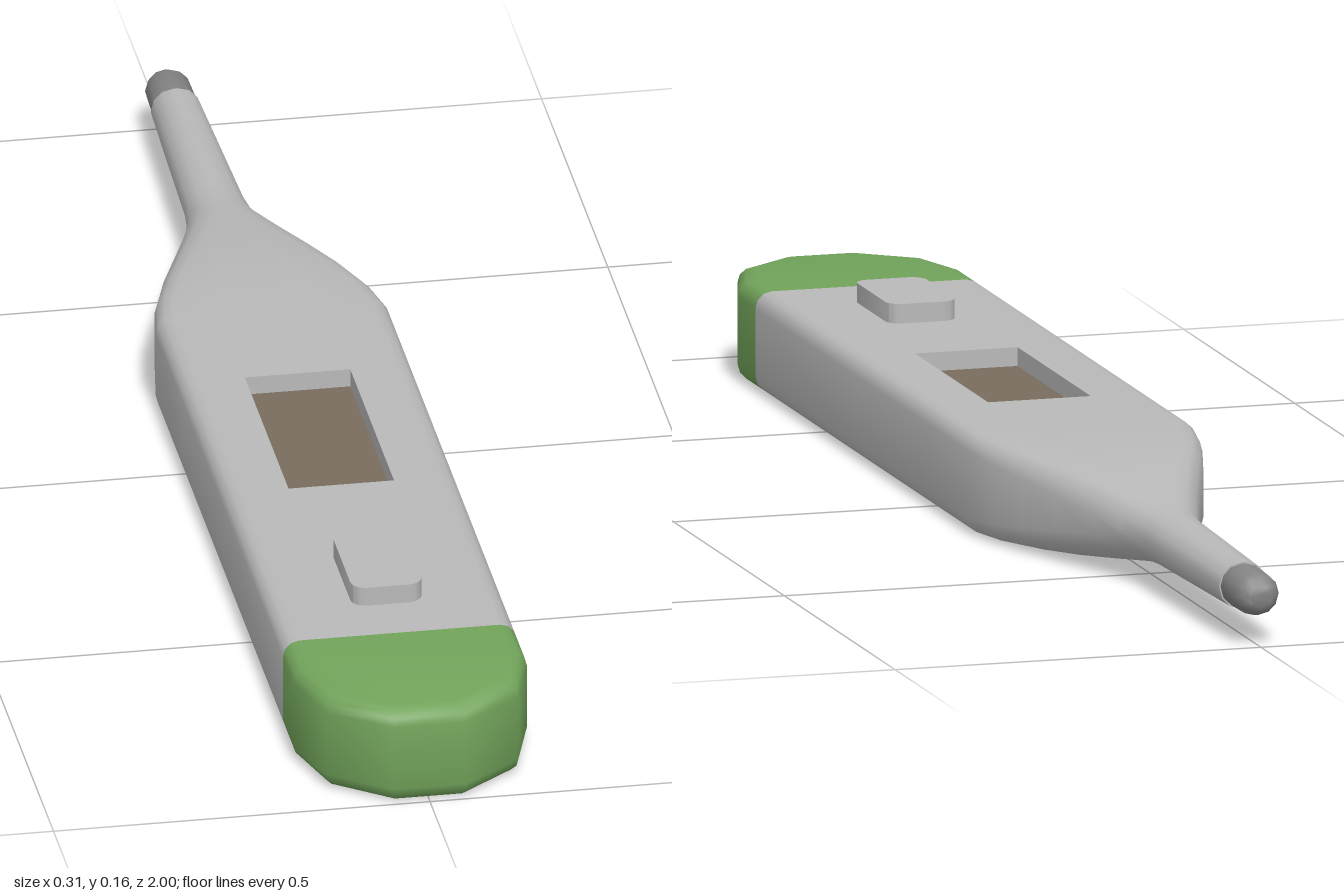
import * as THREE from 'three';
import { toCreasedNormals } from 'three/addons/utils/BufferGeometryUtils.js';

const MID = 0.068; // height of the long axis
const WIN = { x: 0.07, z0: 0.0, z1: 0.33, floor: 0.11, top: 0.135 };

// Skin a list of equal-length closed rings, optionally closing both ends.
function loft(rings, { ends = true, skip = () => false, crease = 0.8 } = {}) {
  const n = rings[0].length, index = [];
  for (let i = 0; i < rings.length - 1; i++) {
    for (let j = 0; j < n; j++) {
      if (skip(i, j)) continue;
      const a = i * n + j, b = i * n + (j + 1) % n;
      index.push(a, b, b + n, a, b + n, a + n);
    }
  }
  if (ends) {
    const last = (rings.length - 1) * n;
    for (let j = 1; j < n - 1; j++) {
      index.push(0, j + 1, j, last, last + j, last + j + 1);
    }
  }
  const geo = new THREE.BufferGeometry();
  geo.setAttribute('position', new THREE.Float32BufferAttribute(rings.flat(2), 3));
  geo.setIndex(index);
  return toCreasedNormals(geo, crease);
}

// Rounded-rectangle cross-section; two extra points on top mark the window.
function section(z, w, h, r) {
  r = Math.min(r, 0.98 * w, 0.98 * h);
  const f = w - r, g = h - r, pts = [];
  [[1, 1], [-1, 1], [-1, -1], [1, -1]].forEach(([sx, sy], c) => {
    for (let k = 0; k <= 3; k++) {
      const a = (c + k / 3) * Math.PI / 2;
      pts.push([sx * f + r * Math.cos(a), MID + sy * g + r * Math.sin(a), z]);
    }
    if (c === 0) {
      const x = f * WIN.x / 0.133;
      pts.push([x, MID + h, z], [-x, MID + h, z]);
    }
  });
  return pts;
}

export function createModel() {
  const mat = (name, color) => {
    const m = new THREE.MeshStandardMaterial({ color });
    m.name = name;
    return m;
  };
  const shell = mat('light grey plastic', 0xb9b9b9);
  const green = mat('green plastic', 0x72a45b);
  const metal = mat('grey metal', 0x858585);
  const screen = mat('brown screen', 0x786c5c);

  const group = new THREE.Group();
  group.name = 'thermometer';
  const add = (name, geo, material) => {
    const mesh = new THREE.Mesh(geo, material);
    mesh.name = name;
    group.add(mesh);
    return mesh;
  };

  // Body tapering to the probe: z, half width, half height, corner radius
  const stations = [
    [-0.92, 0.033, 0.031, 0.04],
    [-0.62, 0.041, 0.034, 0.04],
    [-0.58, 0.045, 0.036, 0.036],
    [-0.54, 0.055, 0.041, 0.036],
    [-0.48, 0.073, 0.049, 0.036],
    [-0.4, 0.1, 0.058, 0.034],
    [-0.33, 0.124, 0.063, 0.03],
    [-0.26, 0.144, 0.066, 0.026],
    [-0.19, 0.155, 0.067, 0.022],
    [WIN.z0, 0.155, 0.067, 0.022],
    [WIN.z1, 0.155, 0.067, 0.022],
    [0.77, 0.155, 0.067, 0.022],
  ];
  add('body', loft(stations.map((s) => section(...s)), {
    skip: (i, j) => stations[i][0] === WIN.z0 && j === 4,
  }), shell);

  // Walls of the display recess, facing inward
  const rim = (y) => [
    [-WIN.x, y, WIN.z0], [WIN.x, y, WIN.z0], [WIN.x, y, WIN.z1], [-WIN.x, y, WIN.z1],
  ];
  add('displayRecess', loft([rim(WIN.floor), rim(WIN.top)], { ends: false, crease: 0.3 }), shell);
  const display = add('display', new THREE.PlaneGeometry(2 * WIN.x, WIN.z1 - WIN.z0), screen);
  display.rotation.x = -Math.PI / 2;
  display.position.set(0, WIN.floor, (WIN.z0 + WIN.z1) / 2);

  // Metal sensor tip
  add('sensorTip', loft([
    [-1, 0.015, 0.014], [-0.994, 0.024, 0.022], [-0.98, 0.03, 0.028], [-0.92, 0.031, 0.029],
  ].map(([z, w, h]) => section(z, w, h, 0.04))), metal);

  // End cap: faceted outline stacked in layers with a rounded rim
  const half = [[-0.155, 0.77], [-0.155, 0.85], [-0.128, 0.94], [-0.048, 1.0]];
  const outline = [...half, ...half.map(([x, z]) => [-x, z]).reverse()];
  const layers = [];
  const r = 0.022;
  for (const s of [-1, 1]) {
    for (let k = 0; k <= 3; k++) {
      const a = (s < 0 ? 3 - k : k) * Math.PI / 6;
      const inset = r * (1 - Math.cos(a));
      const y = MID + s * (0.067 - r + r * Math.sin(a));
      layers.push(outline.map(([x, z]) => [
        x * (1 - inset / 0.155), y, 0.77 + (z - 0.77) * (1 - inset / 0.23),
      ]));
    }
  }
  add('endCap', loft(layers), green);

  // Push button with rounded corners
  const bx = 0.047, bz = 0.082, br = 0.02;
  const shape = new THREE.Shape();
  shape.absarc(bx - br, bz - br, br, 0, Math.PI / 2);
  shape.absarc(-bx + br, bz - br, br, Math.PI / 2, Math.PI);
  shape.absarc(-bx + br, -bz + br, br, Math.PI, Math.PI * 1.5);
  shape.absarc(bx - br, -bz + br, br, Math.PI * 1.5, Math.PI * 2);
  const button = add('button', toCreasedNormals(new THREE.ExtrudeGeometry(shape, {
    depth: 0.035, bevelEnabled: false, curveSegments: 4,
  }), 0.7), shell);
  button.rotation.x = -Math.PI / 2;
  button.position.set(0, 0.126, 0.603);

  return group;
}
